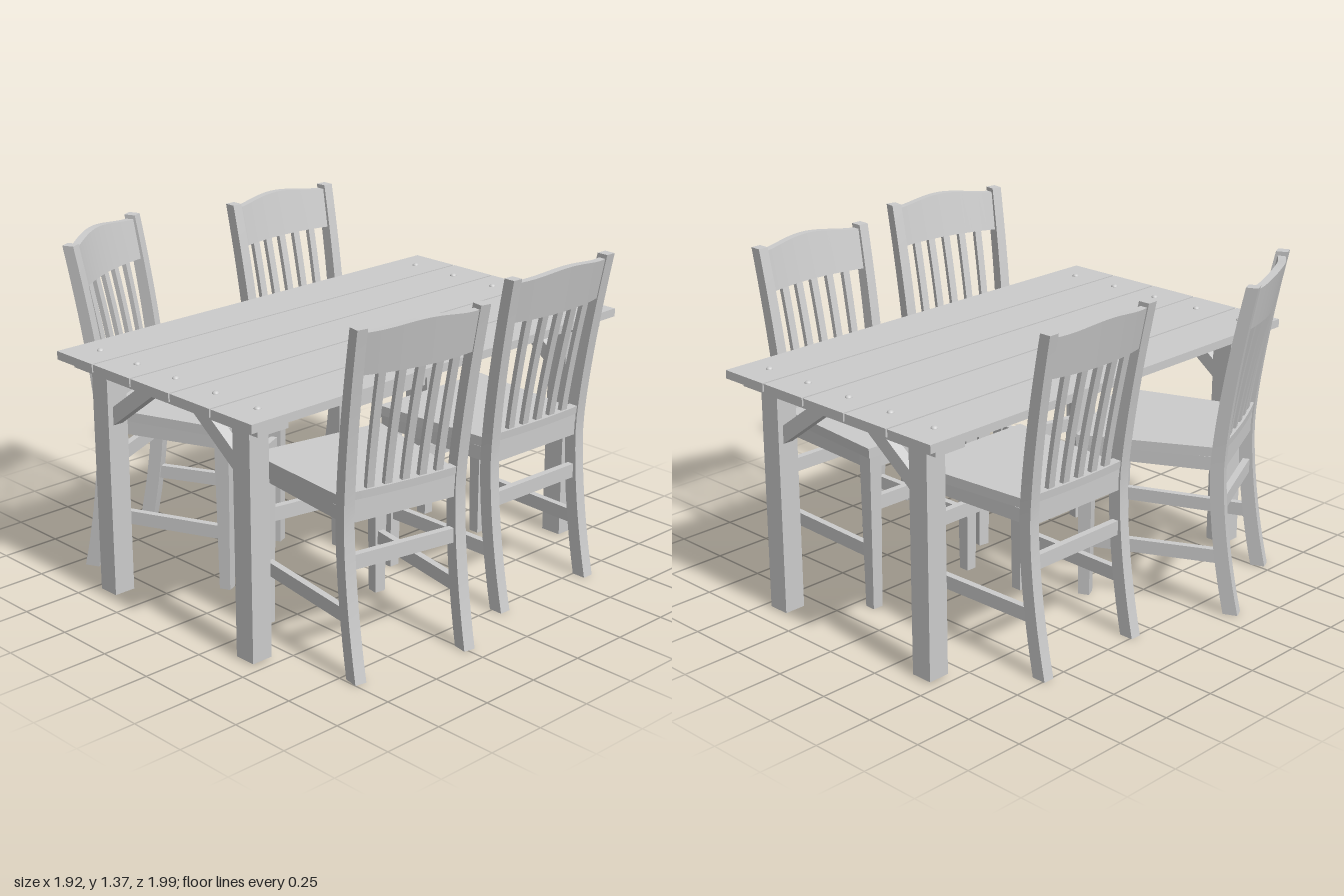
import * as THREE from 'three';
import { toCreasedNormals } from 'three/addons/utils/BufferGeometryUtils.js';

const grey = new THREE.MeshStandardMaterial({ color: 0xcccccc });

function add(parent, name, geometry, x = 0, y = 0, z = 0) {
  const mesh = new THREE.Mesh(geometry, grey);
  mesh.name = name;
  mesh.position.set(x, y, z);
  parent.add(mesh);
  return mesh;
}

const box = (parent, name, w, h, d, x, y, z) =>
  add(parent, name, new THREE.BoxGeometry(w, h, d), x, y, z);

// Straight rectangular rail between two points at one height
function rail(parent, name, x0, z0, x1, z1, y, h, thick) {
  const mesh = box(parent, name, Math.hypot(x1 - x0, z1 - z0), h, thick, (x0 + x1) / 2, y, (z0 + z1) / 2);
  mesh.rotation.y = -Math.atan2(z1 - z0, x1 - x0);
}

// Solid lofted through four-cornered sections
function loft(count, section) {
  const pos = [];
  const quad = (a, b, c, d) => pos.push(...a, ...b, ...c, ...a, ...c, ...d);
  const rings = Array.from({ length: count + 1 }, (_, i) => section(i / count));
  for (let i = 0; i < count; i++) {
    for (let k = 0; k < 4; k++) {
      const n = (k + 1) % 4;
      quad(rings[i][k], rings[i][n], rings[i + 1][n], rings[i + 1][k]);
    }
  }
  const [s, e] = [rings[0], rings[count]];
  quad(s[3], s[2], s[1], s[0]);
  quad(e[0], e[1], e[2], e[3]);
  const g = new THREE.BufferGeometry();
  g.setAttribute('position', new THREE.Float32BufferAttribute(pos, 3));
  return toCreasedNormals(g, 0.5);
}

// Upright section: centre x, z at height y, half sizes a (x) and b (z)
const flat = (x, y, z, a, b) =>
  [[x - a, y, z - b], [x - a, y, z + b], [x + a, y, z + b], [x + a, y, z - b]];

// Sideways curve of the back posts, as x at height y
const lean = (y) => y > 0.62
  ? -0.135 + 0.11 * Math.pow((y - 0.62) / 0.74, 1.4)
  : -0.135 + 0.075 * Math.pow((0.62 - y) / 0.62, 1.8);

// Backward bow of the back across its width
const bow = (z) => 0.035 * (1 - (z / 0.25) ** 2);

// Chair facing -x, with the top of its back at x = 0
function createChair(name, x, z, turn) {
  const chair = new THREE.Group();
  chair.name = name;
  chair.position.set(x, 0, z);
  chair.rotation.y = turn;

  for (const s of [-1, 1]) {
    // Curved back post and tapered front leg
    add(chair, 'backPost', loft(20, (t) => {
      const y = 1.36 * t;
      const spread = 0.246 + 0.016 * Math.max(0, (y - 0.7) / 0.66);
      return flat(lean(y), y, s * spread, 0.03 - 0.006 * t, 0.024 - 0.002 * t);
    }));
    add(chair, 'frontLeg', loft(1, (t) =>
      flat(-0.665, 0.656 * t, s * 0.258, 0.023 + 0.008 * t, 0.023 + 0.006 * t)));
    // Side apron and low side stretcher
    rail(chair, 'sideApron', -0.665, s * 0.262, -0.135, s * 0.24, 0.628, 0.056, 0.03);
    rail(chair, 'sideStretcher', -0.665, s * 0.258, -0.105, s * 0.246, 0.24, 0.056, 0.028);
  }

  // Aprons and stretchers across the chair
  box(chair, 'frontApron', 0.03, 0.056, 0.5, -0.67, 0.628, 0);
  box(chair, 'backApron', 0.03, 0.056, 0.48, -0.13, 0.628, 0);
  box(chair, 'frontStretcher', 0.028, 0.058, 0.5, -0.665, 0.445, 0);
  box(chair, 'backStretcher', 0.028, 0.058, 0.48, lean(0.445), 0.445, 0);

  // Tapered seat board
  add(chair, 'seat', loft(1, (t) => {
    const y = 0.655 + 0.04 * t;
    return [[-0.7, y, -0.295], [-0.7, y, 0.295], [-0.112, y, 0.25], [-0.112, y, -0.25]];
  }));

  // Bowed rails with an optional crown along the top
  const bowedRail = (label, low, high, half, crown, amount) =>
    add(chair, label, loft(20, (t) => {
      const w = -0.25 + 0.5 * t;
      const top = high + crown * Math.cos(w / 0.25 * Math.PI / 2) ** 2;
      const a = lean(low) + bow(w) * amount, b = lean(top) + bow(w) * amount;
      return [[a - half, low, w], [a + half, low, w], [b + half, top, w], [b - half, top, w]];
    }));
  bowedRail('topRail', 1.18, 1.343, 0.016, 0.022, 1);
  bowedRail('lowerRail', 0.69, 0.722, 0.02, 0, 0.3);

  // Five curved back slats
  for (let i = -2; i <= 2; i++) {
    add(chair, 'backSlat', loft(10, (t) => {
      const y = 0.715 + 0.48 * t;
      const w = i * (0.076 + 0.004 * t);
      return flat(lean(y) + bow(w) * (0.3 + 0.7 * t), y, w, 0.01, 0.016);
    }));
  }
  return chair;
}

function createTable() {
  const table = new THREE.Group();
  table.name = 'table';

  // Top planks with a bolt head at each end
  const bolt = new THREE.SphereGeometry(0.014, 16, 8, 0, Math.PI * 2, 0, Math.PI / 2);
  bolt.scale(1, 0.75, 1);
  for (let i = -2; i <= 2; i++) {
    const x = i * 0.2285;
    box(table, 'plank', 0.22, 0.034, 1.99, x, 0.983, 0);
    for (const s of [-1, 1]) add(table, 'boltHead', bolt, x, 0.999, s * 0.87);
  }

  // Diagonal brace outline
  const braceShape = new THREE.Shape([
    new THREE.Vector2(0.375, 0.715), new THREE.Vector2(0.375, 0.79),
    new THREE.Vector2(0.18, 0.932), new THREE.Vector2(0.08, 0.932),
  ]);
  const brace = new THREE.ExtrudeGeometry(braceShape, { depth: 0.045, bevelEnabled: false });
  brace.translate(0, 0, -0.0225);

  // Cross beam, two legs and two braces at each end
  for (const s of [-1, 1]) {
    box(table, 'crossBeam', 1.07, 0.04, 0.145, 0, 0.949, s * 0.867);
    for (const m of [-1, 1]) {
      box(table, 'tableLeg', 0.092, 0.925, 0.092, m * 0.413, 0.4685, s * 0.867);
      const b = add(table, 'brace', brace, 0, 0, s * 0.867);
      if (m < 0) b.rotation.y = Math.PI;
    }
  }
  return table;
}

export function createModel() {
  const model = new THREE.Group();
  model.name = 'diningSet';
  model.add(
    createTable(),
    createChair('backLeftChair', 0.835, -0.345, -0.02),
    createChair('frontLeftChair', 0.912, 0.49, -0.18),
    createChair('backRightChair', -0.788, -0.343, Math.PI),
    createChair('frontRightChair', -0.84, 0.58, Math.PI + 0.434),
  );
  return model;
}
